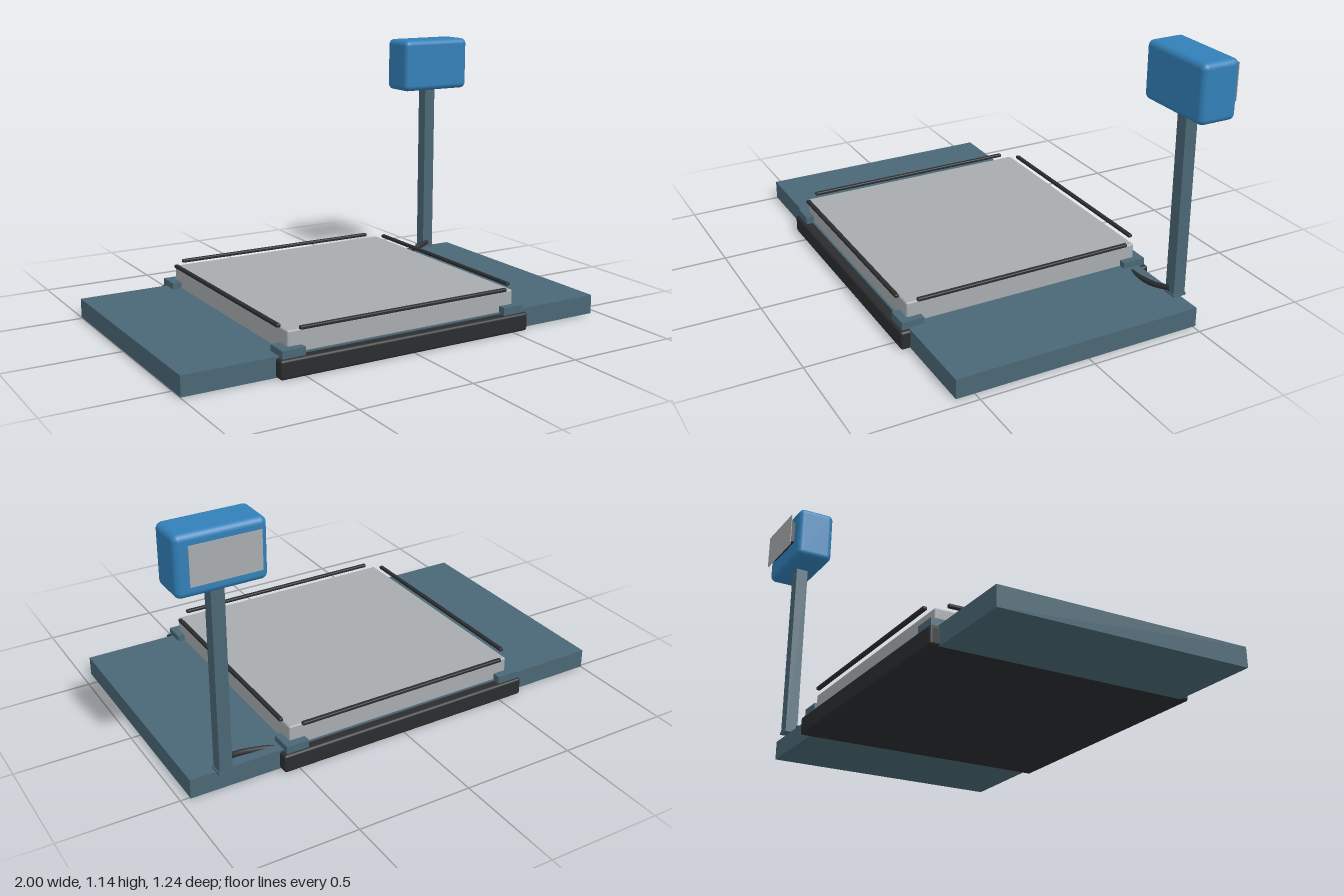
import * as THREE from 'three';
import { RoundedBoxGeometry } from 'three/addons/geometries/RoundedBoxGeometry.js';

const mat = (color) => new THREE.MeshStandardMaterial({ color });

export function createModel() {
  const model = new THREE.Group();
  model.name = 'platformScale';
  const steel = mat(0x4a6775), black = mat(0x2a2c2e), grey = mat(0xa8acae);
  const blue = mat(0x3280b8), green = mat(0x3f8f4a);

  // Box given by its extents; a radius rounds its edges
  function block(name, [x0, x1], [y0, y1], [z0, z1], material, radius = 0) {
    const size = [x1 - x0, y1 - y0, z1 - z0];
    const geometry = radius
      ? new RoundedBoxGeometry(...size, 4, radius)
      : new THREE.BoxGeometry(...size);
    const mesh = new THREE.Mesh(geometry, material);
    mesh.name = name;
    mesh.position.set((x0 + x1) / 2, (y0 + y1) / 2, (z0 + z1) / 2);
    model.add(mesh);
    return mesh;
  }

  // Floor slab, base and weighing plate
  block('floorSlab', [-1, 0.96], [0.002, 0.086], [-0.51, 0.58], steel);
  block('scaleBase', [-0.61, 0.57], [0, 0.08], [-0.552, 0.62], black, 0.012);
  block('weighingPlate', [-0.556, 0.522], [0.08, 0.176], [-0.504, 0.572], grey, 0.008);

  // Corner brackets
  for (const x of [[-0.597, -0.495], [0.453, 0.553]])
    for (const z of [[-0.54, -0.437], [0.51, 0.607]])
      block('cornerBracket', x, [0.078, 0.113], z, steel);

  // Rubber strips around the plate
  for (const z of [[-0.53, -0.511], [0.579, 0.598]])
    block('endStrip', [-0.513, 0.473], [0.179, 0.194], z, black, 0.005);
  for (const x of [[-0.58, -0.561], [0.522, 0.541]])
    block('sideStrip', x, [0.179, 0.194], [-0.457, 0.53], black, 0.005);

  // Post with foot plate
  block('postFoot', [0.785, 0.85], [0.084, 0.094], [-0.538, -0.477], steel);
  block('post', [0.79, 0.845], [0.086, 0.91], [-0.535, -0.48], steel);

  // Indicator head with rear screen
  block('indicatorHead', [0.637, 1], [0.897, 1.143], [-0.593, -0.423], blue, 0.026);
  block('screenMount', [0.7, 0.933], [0.983, 1.09], [-0.616, -0.59], black, 0.004);
  block('display', [0.73, 0.9], [1.0, 1.07], [-0.618, -0.614], green);
  block('screenCover', [0.675, 0.958], [0.955, 1.112], [-0.622, -0.619], grey);

  // Cable from the base to the post
  const path = new THREE.CatmullRomCurve3([
    [0.54, 0.07, -0.47], [0.64, 0.085, -0.455], [0.74, 0.1, -0.458], [0.815, 0.112, -0.485],
  ].map((p) => new THREE.Vector3(...p)));
  const cable = new THREE.Mesh(new THREE.TubeGeometry(path, 24, 0.012, 10), black);
  cable.name = 'cable';
  model.add(cable);

  return model;
}
